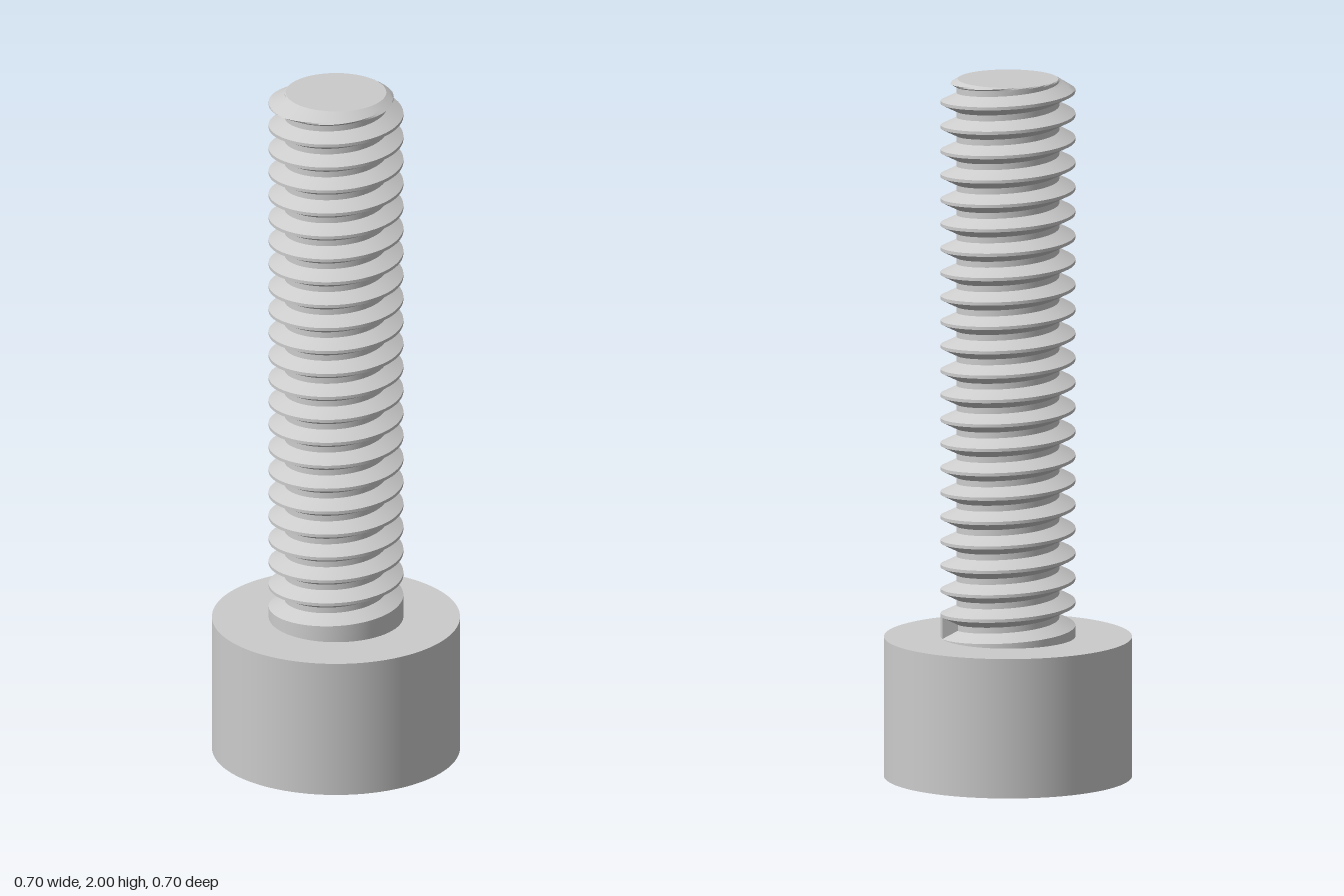
import * as THREE from 'three';
import { toCreasedNormals } from 'three/addons/utils/BufferGeometryUtils.js';

const HEAD_R = 0.35, HEAD_H = 0.4, TOP = 2;
const CREST = 0.19, ROOT = 0.145, PITCH = 0.07, TIP = 0.142;
const SEGMENTS = 72;

// One pitch of the groove: height above its lower edge, radius
const groove = [[0, CREST], [0.022, ROOT], [0.039, ROOT], [0.061, CREST]];

// Heights and radii up the shank, measured from the helix start
function threadProfile() {
  const points = [];
  const turns = Math.ceil((TOP - HEAD_H) / PITCH) + 1;
  const steps = 5;
  for (let k = 0; k < turns; k++) {
    groove.forEach(([h, r], i) => {
      const [h2, r2] = groove[i + 1] || [PITCH, CREST];
      for (let s = 0; s < steps; s++) {
        const t = s / steps;
        points.push([k * PITCH + h + (h2 - h) * t, r + (r2 - r) * t]);
      }
    });
  }
  return points;
}

// Right-handed helical surface, trimmed by the end plane and the tip chamfer
function threadGeometry() {
  const profile = threadProfile();
  const positions = [], index = [];
  const rows = profile.length + 1;
  for (let j = 0; j <= SEGMENTS; j++) {
    const a = (j / SEGMENTS) * Math.PI * 2;
    const rise = (PITCH * j) / SEGMENTS;
    const column = [[HEAD_H, CREST], ...profile.map(([h, r]) => [HEAD_H + rise + h, r])];
    for (const [h, r] of column) {
      const y = Math.min(h, TOP);
      const radius = Math.min(r, TIP + (TOP - y) * 1.6);
      positions.push(radius * Math.cos(a), y, -radius * Math.sin(a));
    }
  }
  const height = (i) => positions[i * 3 + 1];
  const addTriangle = (a, b, c) => {
    if (Math.max(height(a), height(b), height(c)) - Math.min(height(a), height(b), height(c)) > 1e-6) index.push(a, b, c);
  };
  for (let j = 0; j < SEGMENTS; j++) {
    for (let i = 0; i < rows - 1; i++) {
      const a = j * rows + i, b = a + rows;
      addTriangle(a, b, b + 1);
      addTriangle(a, b + 1, a + 1);
    }
  }
  const geometry = new THREE.BufferGeometry();
  geometry.setAttribute('position', new THREE.Float32BufferAttribute(positions, 3));
  geometry.setIndex(index);
  return toCreasedNormals(geometry, 0.4);
}

export function createModel() {
  const group = new THREE.Group();
  const material = new THREE.MeshStandardMaterial({ color: 0xcccccc });
  const thin = new THREE.MeshStandardMaterial({ color: 0xcccccc, side: THREE.DoubleSide });
  const add = (name, geometry, mat = material) => {
    const mesh = new THREE.Mesh(geometry, mat);
    mesh.name = name;
    group.add(mesh);
    return mesh;
  };

  // Plain cylindrical head
  add('head', new THREE.CylinderGeometry(HEAD_R, HEAD_R, HEAD_H, 96)).position.y = HEAD_H / 2;

  // Threaded shank
  add('threadedShank', threadGeometry(), thin);

  // Flat end of the shank
  const end = add('shankEnd', new THREE.CircleGeometry(TIP, SEGMENTS));
  end.rotation.x = -Math.PI / 2;
  end.position.y = TOP;

  // Small wall where the groove starts
  const wall = new THREE.Shape(groove.map(([h, r]) => new THREE.Vector2(r, HEAD_H + h)));
  add('grooveStart', new THREE.ShapeGeometry(wall), thin);

  return group;
}
